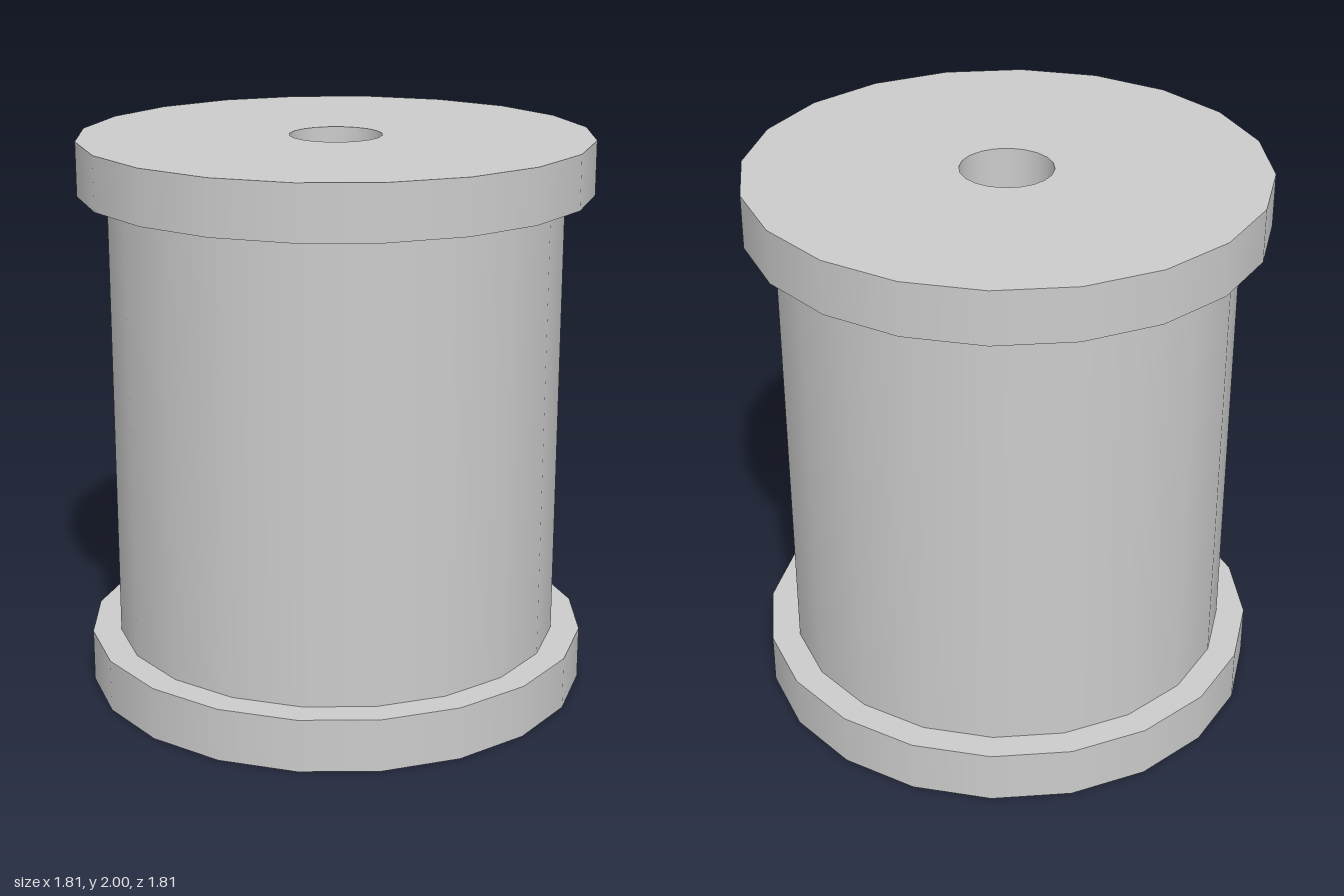
import * as THREE from 'three';
import { mergeGeometries } from 'three/addons/utils/BufferGeometryUtils.js';

const SIDES = 20;
const BORE = 0.163;
const FLANGE_RADIUS = 0.905;
const FLANGE_HEIGHT = 0.19;
const DRUM_RADIUS = 0.802;
const HEIGHT = 2;

// Revolves each straight run of a profile separately, so its corners stay sharp.
function revolve(profile) {
  const runs = [];
  for (let i = 0; i < profile.length - 1; i++) {
    const ends = [profile[i], profile[i + 1]].map(([r, y]) => new THREE.Vector2(r, y));
    runs.push(new THREE.LatheGeometry(ends, SIDES));
  }
  return mergeGeometries(runs);
}

export function createModel() {
  const group = new THREE.Group();
  group.name = 'spool';
  const material = new THREE.MeshStandardMaterial({ color: 0xcccccc });

  const add = (name, profile, y = 0) => {
    const mesh = new THREE.Mesh(revolve(profile), material);
    mesh.name = name;
    mesh.position.y = y;
    group.add(mesh);
  };

  // End flanges: thick discs pierced by the bore
  const flange = [
    [BORE, 0], [FLANGE_RADIUS, 0], [FLANGE_RADIUS, FLANGE_HEIGHT],
    [BORE, FLANGE_HEIGHT], [BORE, 0],
  ];
  add('bottomFlange', flange);
  add('topFlange', flange, HEIGHT - FLANGE_HEIGHT);

  // Drum between the flanges, and the axle bore running through it
  const low = FLANGE_HEIGHT, high = HEIGHT - FLANGE_HEIGHT;
  add('drum', [[DRUM_RADIUS, low], [DRUM_RADIUS, high]]);
  add('bore', [[BORE, high], [BORE, low]]);

  return group;
}
